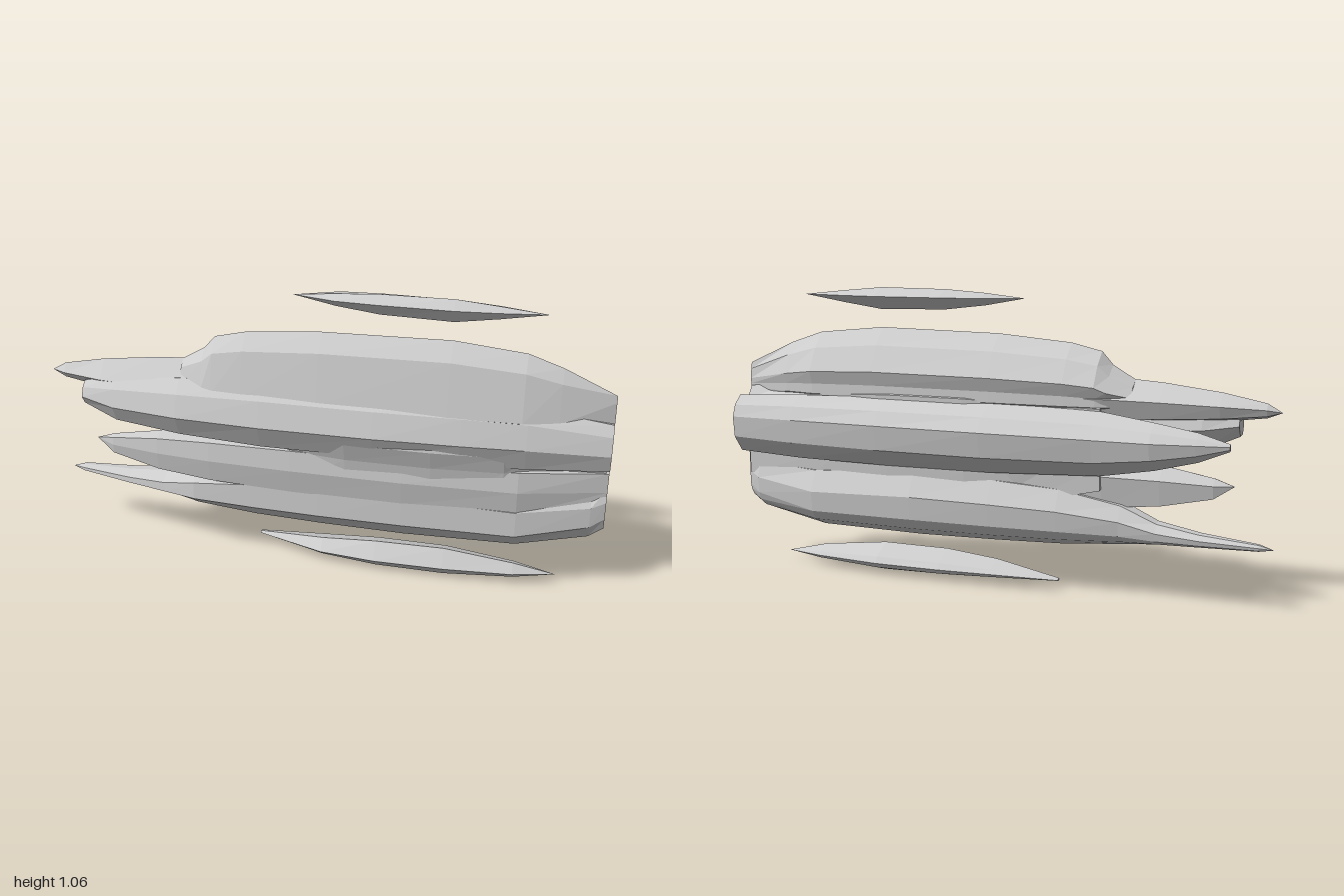
import * as THREE from 'three';

// Lofts a ring of [y, z] points (top, front, bottom, back) along x.
// Each station is [x, yScale, zScale, yAnchor, zAnchor]; scaling is about the anchor.
function loft(name, material, anchor, ring, stations) {
  const n = ring.length;
  const position = [];
  const index = [];
  for (const [x, sy, sz, ay = anchor[0], az = anchor[1]] of stations) {
    for (const [y, z] of ring) {
      position.push(x, ay + (y - anchor[0]) * sy, az + (z - anchor[1]) * sz);
    }
  }
  for (let i = 0; i < stations.length - 1; i++) {
    for (let j = 0; j < n; j++) {
      const a = i * n + j;
      const b = i * n + ((j + 1) % n);
      index.push(a, b, a + n, b, b + n, a + n);
    }
  }
  // End caps, fanned from the anchor
  [0, stations.length - 1].forEach((s, end) => {
    const [x, , , ay = anchor[0], az = anchor[1]] = stations[s];
    const c = position.length / 3;
    position.push(x, ay, az);
    for (let j = 0; j < n; j++) {
      const a = s * n + j;
      const b = s * n + ((j + 1) % n);
      if (end) index.push(c, a, b);
      else index.push(c, b, a);
    }
  });
  const indexed = new THREE.BufferGeometry();
  indexed.setAttribute('position', new THREE.Float32BufferAttribute(position, 3));
  indexed.setIndex(index);
  const geometry = indexed.toNonIndexed();
  geometry.computeVertexNormals();
  const mesh = new THREE.Mesh(geometry, material);
  mesh.name = name;
  return mesh;
}

export function createModel() {
  const grey = new THREE.MeshStandardMaterial({ color: 0xcccccc });
  grey.name = 'pale grey';
  const group = new THREE.Group();
  group.name = 'streakedCloud';
  const add = (name, ...rest) => group.add(loft(name, grey, ...rest));

  // Tall crest with a stepped left end, narrowing to an edge on the right
  add('crest', [0.67, 0.045],
    [[0.91, 0.045], [0.85, 0.1], [0.67, 0.14], [0.6, 0.045], [0.67, -0.06], [0.71, -0.06], [0.76, -0.08], [0.85, -0.025]],
    [[-0.5, 0.38, 0.6], [-0.42, 0.58, 0.85], [-0.38, 0.77, 0.92], [-0.27, 0.88, 0.97], [0, 0.98, 1],
      [0.45, 1.02, 0.95], [0.7, 0.92, 0.85], [0.82, 0.75, 0.6], [1, 0.4, 0.08, 0.67, 0.04]]);

  // Upper leaf running out to a point
  add('upperLeaf', [0.67, 0.045],
    [[0.77, 0.045], [0.67, 0.14], [0.6, 0.08], [0.63, -0.03], [0.7, -0.06]],
    [[-1, 0, 0], [-0.95, 0.3, 0.25], [-0.8, 0.6, 0.6], [-0.6, 0.85, 0.8], [-0.4, 1, 0.95], [-0.1, 1, 0.9]]);

  // Front upper band with a thin blunt left end
  add('frontBand', [0.61, 0.045],
    [[0.72, 0.1], [0.67, 0.15], [0.58, 0.178], [0.49, 0.135], [0.49, 0.04], [0.6, -0.03], [0.7, 0]],
    [[-0.86, 0.35, 0.5, 0.622, 0.065], [-0.74, 0.68, 0.76, 0.61, 0.05], [-0.5, 0.88, 0.96], [-0.2, 1, 1],
      [0.2, 1, 0.96], [0.5, 1, 0.85], [0.72, 0.95, 0.75], [1, 0.72, 0.5, 0.595]]);

  // Deep rear band
  add('rearBand', [0.56, -0.06],
    [[0.67, -0.05], [0.65, 0.03], [0.5, 0.03], [0.42, -0.05], [0.49, -0.16], [0.58, -0.18], [0.63, -0.14]],
    [[-0.86, 0.1, 0.08, 0.575, -0.135], [-0.75, 0.4, 0.4, 0.57, -0.115], [-0.6, 0.65, 0.68, 0.565, -0.1],
      [-0.4, 0.9, 0.95], [0, 1, 0.95], [0.4, 1, 0.8], [0.75, 0.95, 0.6], [1, 0.85, 0.45, 0.56, -0.055]]);

  // Pointed middle band, sinking inward past the right shoulder
  add('middleBand', [0.4, 0.045],
    [[0.49, 0.05], [0.475, 0.12], [0.4, 0.13], [0.31, 0.115], [0.31, -0.02], [0.43, -0.04]],
    [[-0.85, 0, 0, 0.41], [-0.78, 0.38, 0.35], [-0.6, 0.75, 0.7], [-0.4, 0.92, 0.9], [-0.1, 1, 1],
      [0.3, 1.02, 1], [0.7, 1, 0.8], [1, 0.95, 0.2, 0.4, 0.02]]);

  // Lower body: long point on the left, narrow edge on the right
  add('lowerBody', [0.225, 0.02],
    [[0.41, 0.03], [0.33, 0.115], [0.225, 0.12], [0.15, 0.045], [0.19, -0.045], [0.23, -0.075], [0.315, -0.085], [0.4, -0.04]],
    [[-1, 0, 0, 0.225, -0.05], [-0.95, 0.1, 0.2, 0.222, -0.045], [-0.75, 0.2, 0.45, 0.22, -0.02],
      [-0.6, 0.33, 0.6, 0.22, 0], [-0.47, 0.6, 0.78], [-0.25, 0.85, 0.92], [0, 0.95, 1], [0.3, 1, 1],
      [0.7, 0.88, 0.88], [0.95, 0.7, 0.42, 0.27], [1, 0.6, 0.2, 0.3, 0.025]]);

  // Core closing the valleys between bands
  add('core', [0.5, 0.03],
    [[0.74, 0.06], [0.67, 0.13], [0.54, 0.155], [0.47, 0.132], [0.32, 0.11], [0.3, -0.04], [0.41, -0.05], [0.55, -0.06], [0.68, -0.065]],
    [[-0.4, 0.75, 0.45, 0.53, -0.01], [-0.1, 0.95, 0.8], [0.1, 1, 1], [0.4, 1, 0.97], [0.65, 0.95, 0.8],
      [0.75, 0.9, 0.6, 0.5, 0.02], [0.99, 0.75, 0.25, 0.5, 0.01]]);

  // Separate wisps above and below
  add('upperWisp', [1.03, 0.04],
    [[1.06, 0.045], [1.03, 0.08], [0.98, 0.045], [1.03, -0.035]],
    [[-0.1, 0, 0], [0.05, 0.55, 0.85], [0.2, 0.9, 1], [0.45, 1, 0.95], [0.6, 0.55, 0.6], [0.76, 0, 0]]);
  add('lowerWisp', [0.045, 0.04],
    [[0.107, 0.045], [0.045, 0.09], [0.002, 0.045], [0.03, -0.045], [0.048, -0.06], [0.07, -0.042]],
    [[-0.25, 0.1, 0.15, 0.045, -0.02], [0, 0.65, 0.8, 0.045, 0.03], [0.2, 0.95, 1], [0.45, 1, 0.95],
      [0.7, 0.55, 0.55], [0.85, 0, 0, 0.045, 0.03]]);

  return group;
}
